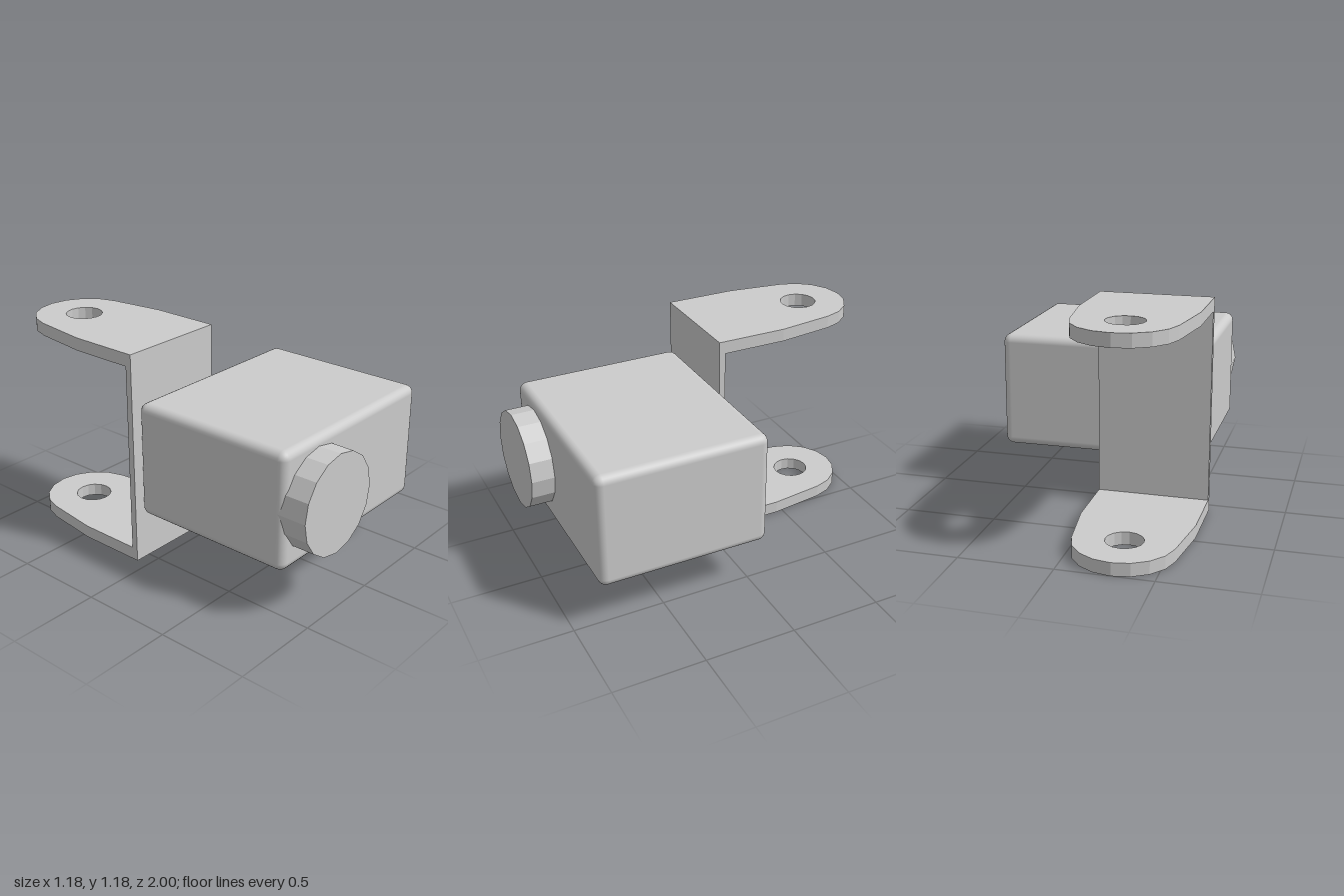
import * as THREE from 'three';
import { RoundedBoxGeometry } from 'three/addons/geometries/RoundedBoxGeometry.js';

const MID_X = -0.283; // shared axis of bracket and knob
const HALF_W = 0.308; // bracket half width
const HOLE_Z = 0.732; // distance of the pivot holes behind the origin
const TIP_R = 0.268;

export function createModel() {
  const group = new THREE.Group();
  group.name = 'bracketedBox';
  const smooth = new THREE.MeshStandardMaterial({ color: 0xcccccc });
  const faceted = new THREE.MeshStandardMaterial({ color: 0xcccccc, flatShading: true });

  const add = (name, geometry, material, x, y, z) => {
    const mesh = new THREE.Mesh(geometry, material);
    mesh.name = name;
    mesh.position.set(x, y, z);
    group.add(mesh);
    return mesh;
  };

  // Housing with rounded edges
  add('housing', new RoundedBoxGeometry(1.144, 0.638, 0.942, 3, 0.045), smooth, 0.018, 0.595, 0.403);

  // Round knob on the front
  const knob = new THREE.CylinderGeometry(0.27, 0.27, 0.18, 16).rotateX(Math.PI / 2);
  add('frontKnob', knob, faceted, MID_X, 0.595, 0.91);

  // Upright plate between the arms
  add('bracketPlate', new THREE.BoxGeometry(HALF_W * 2, 1.045, 0.035), faceted, MID_X, 0.5925, -0.0875);

  // Tapered arms with a rounded tip and a pivot hole
  const outline = new THREE.Shape();
  outline.moveTo(-HALF_W, 0.07);
  outline.lineTo(HALF_W, 0.07);
  outline.lineTo(HALF_W, 0.46);
  const start = THREE.MathUtils.degToRad(8);
  for (let i = 0; i <= 8; i++) {
    const a = start + (i / 8) * (Math.PI - 2 * start);
    outline.lineTo(TIP_R * Math.cos(a), HOLE_Z + TIP_R * Math.sin(a));
  }
  outline.lineTo(-HALF_W, 0.46);
  outline.closePath();
  outline.holes.push(new THREE.Path().absarc(0, HOLE_Z, 0.1, 0, Math.PI * 2, true));

  const arm = new THREE.ExtrudeGeometry(outline, { depth: 0.07, bevelEnabled: false, curveSegments: 8 });
  arm.rotateX(-Math.PI / 2);
  add('lowerArm', arm, faceted, MID_X, 0, 0);
  add('upperArm', arm, faceted, MID_X, 1.115, 0);

  return group;
}
